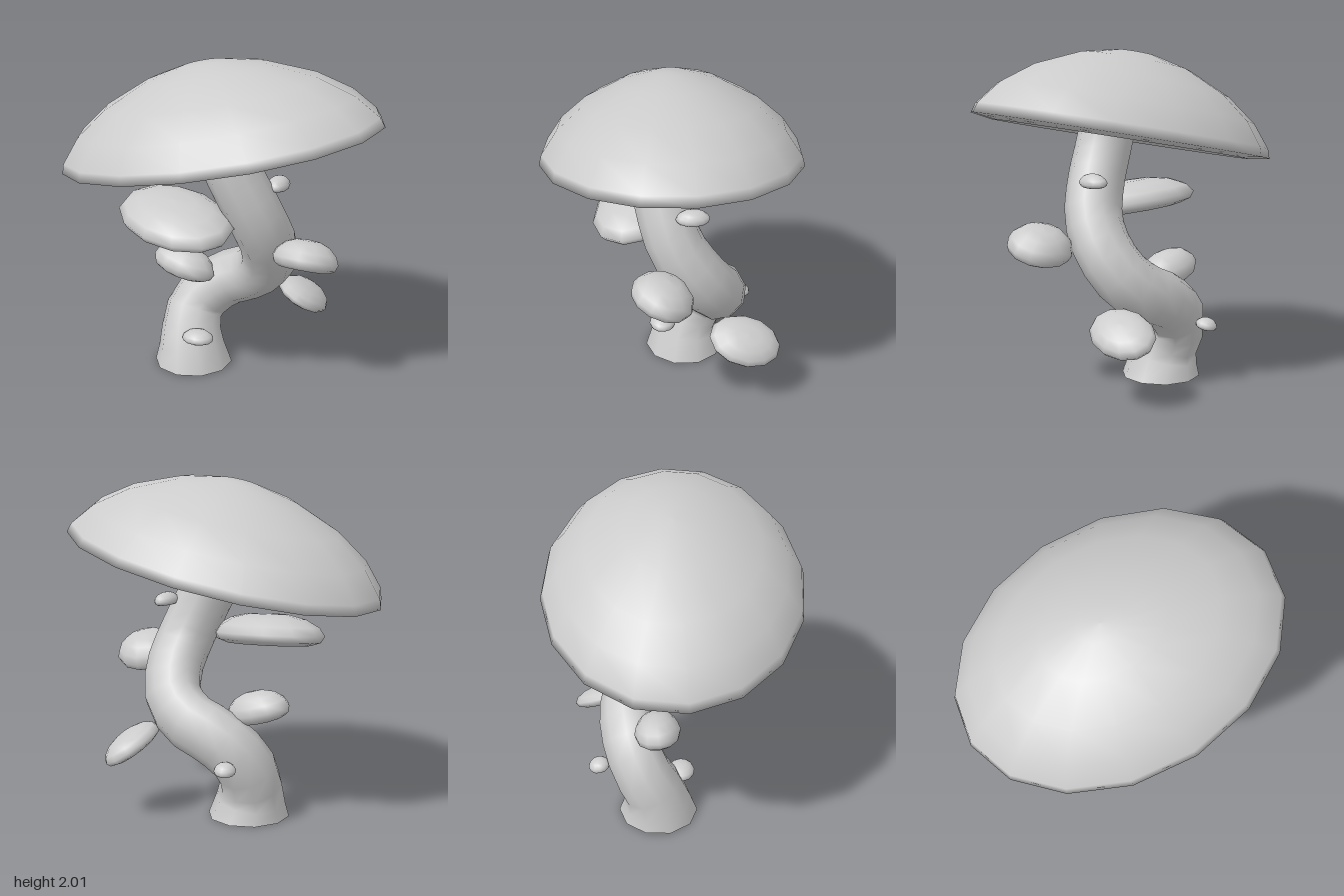
import * as THREE from 'three';

const material = new THREE.MeshStandardMaterial({ color: 0xcccccc });
const openMaterial = new THREE.MeshStandardMaterial({ color: 0xcccccc, side: THREE.DoubleSide });

const toPoints = (list) => list.map(([r, h]) => new THREE.Vector2(r, h));

// Profiles of radius 1 and height 1: inner roof, lip, rim, outer dome
const capProfile = toPoints([
  [0, 0.67], [0.35, 0.6], [0.63, 0.42], [0.78, 0.17], [0.86, 0],
  [1, 0.04], [0.98, 0.15], [0.86, 0.41], [0.66, 0.665], [0.37, 0.89], [0.13, 0.99], [0, 1],
]);
const shelfProfile = toPoints([
  [0, 0.28], [0.35, 0.2], [0.6, 0.08], [0.76, 0.02], [0.93, 0.13],
  [1, 0.34], [0.9, 0.6], [0.66, 0.84], [0.36, 0.97], [0, 1],
]);

function dome(name, profile, [x, y, z], [halfX, height, halfZ], [tiltX, yaw, tiltZ], sides) {
  const geometry = new THREE.LatheGeometry(profile, sides, 0.1);
  const mesh = new THREE.Mesh(geometry, material);
  mesh.name = name;
  mesh.position.set(x, y, z);
  mesh.scale.set(halfX, height, halfZ);
  mesh.rotation.set(tiltX, yaw, tiltZ, 'XZY');
  return mesh;
}

// Winding stem: an open tube whose radius changes with height
function stemRadius(y) {
  const { lerp } = THREE.MathUtils;
  if (y < 0.16) return lerp(0.245, 0.192, y / 0.16);
  if (y < 0.36) return lerp(0.192, 0.176, (y - 0.16) / 0.2);
  if (y > 1.66) return lerp(0.165, 0.22, (y - 1.66) / 0.16);
  return lerp(0.177, 0.165, (y - 0.36) / 1.3);
}

function createStem() {
  const path = new THREE.CatmullRomCurve3([
    [-0.225, 0, -0.095], [-0.252, 0.17, -0.115], [-0.25, 0.35, -0.205], [-0.11, 0.5, -0.27],
    [0.09, 0.595, -0.278], [0.22, 0.71, -0.22], [0.27, 0.87, -0.11], [0.25, 1.03, -0.01],
    [0.18, 1.22, 0.05], [0.1, 1.4, 0.08], [0.05, 1.57, 0.08], [0, 1.82, 0.08],
  ].map((p) => new THREE.Vector3(...p)));
  const rings = 20, sides = 10;
  const geometry = new THREE.TubeGeometry(path, rings, 1, sides);
  const position = geometry.attributes.position;
  const point = new THREE.Vector3();
  for (let i = 0; i <= rings; i++) {
    const centre = path.getPointAt(i / rings);
    const radius = stemRadius(centre.y);
    for (let j = 0; j <= sides; j++) {
      const k = i * (sides + 1) + j;
      point.fromBufferAttribute(position, k).sub(centre).multiplyScalar(radius).add(centre);
      position.setXYZ(k, point.x, i === 0 ? 0 : Math.max(point.y, 0.01), point.z);
    }
  }
  geometry.computeVertexNormals();
  // Share normals across the tube seam
  const normal = geometry.attributes.normal;
  const other = new THREE.Vector3();
  for (let i = 0; i <= rings; i++) {
    const a = i * (sides + 1), b = a + sides;
    point.fromBufferAttribute(normal, a).add(other.fromBufferAttribute(normal, b)).normalize();
    normal.setXYZ(a, point.x, point.y, point.z);
    normal.setXYZ(b, point.x, point.y, point.z);
  }
  const stem = new THREE.Mesh(geometry, openMaterial);
  stem.name = 'stem';
  return stem;
}

export function createModel() {
  const model = new THREE.Group();
  model.name = 'mushroom';
  model.add(createStem());

  // Main tilted cap
  model.add(dome('cap', capProfile, [0.005, 1.47, 0], [1, 0.525, 0.77], [0, 0, 0.207], 16));

  // Shelf caps growing around the stem: position, size, [tilt about x, yaw, tilt about z]
  const shelves = [
    ['largeShelf', [-0.22, 0.995, 0.155], [0.41, 0.19, 0.285], [0.16, -0.44, -0.05]],
    ['rightShelf', [-0.3, 0.595, -0.09], [0.205, 0.175, 0.14], [-0.1, 0, -0.25]],
    ['leftShelf', [0.575, 0.835, 0.11], [0.2, 0.18, 0.19], [-0.36, 0, -0.03]],
    ['lowerLeftShelf', [0.375, 0.4, -0.405], [0.168, 0.125, 0.222], [-0.27, 0, -0.5]],
    ['upperBud', [0.33, 1.235, -0.1], [0.065, 0.075, 0.1], [0, 0, -0.1]],
    ['frontBud', [-0.13, 0.21, 0.05], [0.1, 0.075, 0.082], [0, 0, 0]],
    ['backBud', [-0.25, 0.355, -0.45], [0.065, 0.065, 0.065], [-0.2, 0, 0.1]],
  ];
  for (const [name, position, size, turn] of shelves) {
    model.add(dome(name, shelfProfile, position, size, turn, 12));
  }
  return model;
}
